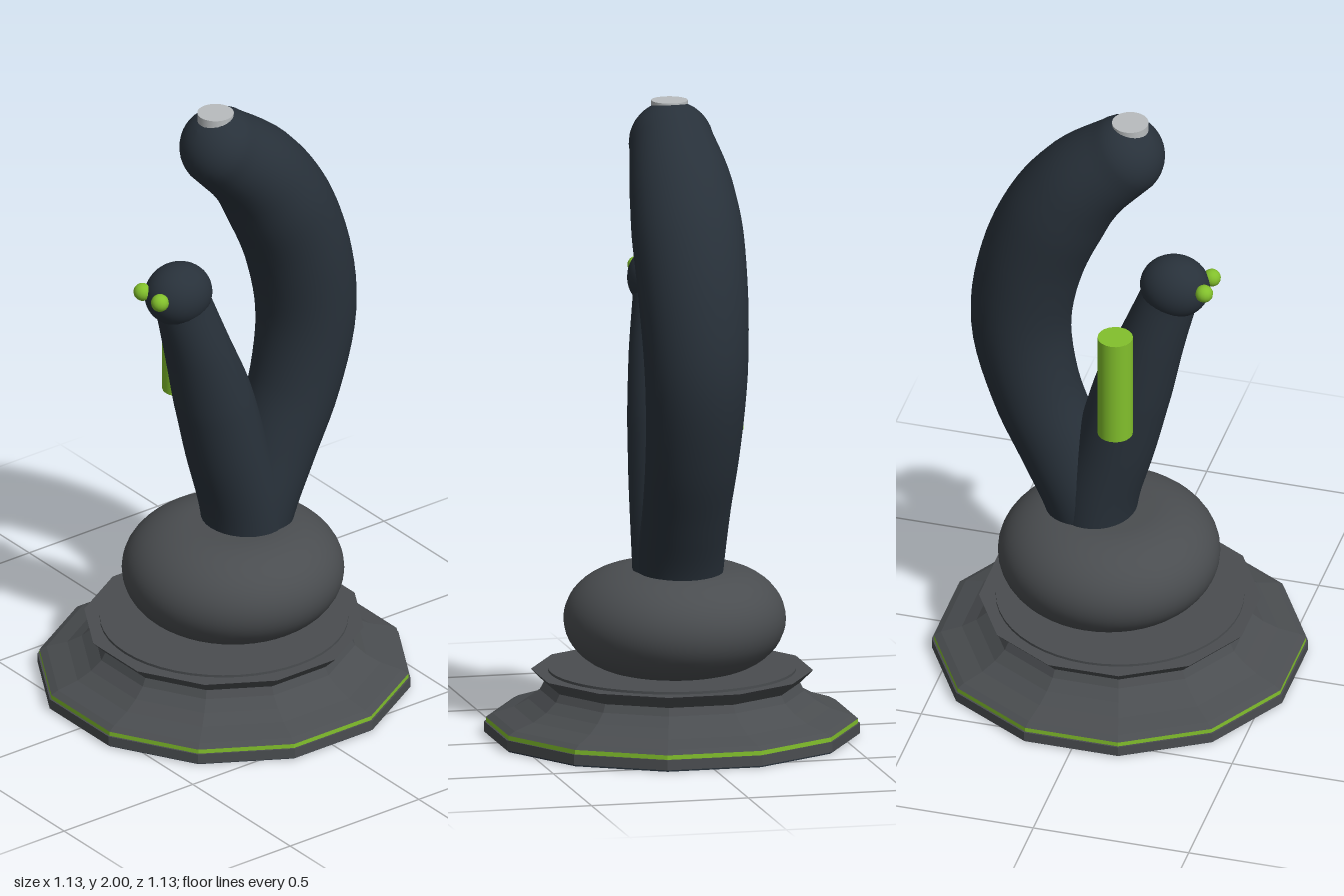
import * as THREE from 'three';

const mat = (name, color, side = THREE.FrontSide) => {
  const m = new THREE.MeshStandardMaterial({ color, side });
  m.name = name;
  return m;
};

// Smooth limb: each row is [y, z, half width, half depth]; ends in a round tip
function limbGeometry(rows, steps = 40, sides = 32) {
  const path = new THREE.CatmullRomCurve3(rows.map(r => new THREE.Vector3(0, r[0], r[1])));
  const size = new THREE.CatmullRomCurve3(rows.map(r => new THREE.Vector3(r[2], r[3], 0)));
  const rings = [];
  for (let i = 0; i <= steps; i++) {
    const t = i / steps, s = size.getPoint(t);
    rings.push({ c: path.getPoint(t), t: path.getTangent(t), w: s.x, d: s.y });
  }
  const end = rings[steps];
  for (let i = 1; i <= 10; i++) {
    const a = (i / 10) * Math.PI / 2, k = Math.max(Math.cos(a), 0.001);
    rings.push({
      c: end.c.clone().addScaledVector(end.t, end.d * Math.sin(a)),
      t: end.t, w: end.w * k, d: end.d * k,
    });
  }
  const pos = [], idx = [];
  rings.forEach(({ c, t, w, d }, i) => {
    for (let j = 0; j < sides; j++) {
      const a = (j / sides) * Math.PI * 2, n = d * Math.sin(a);
      pos.push(w * Math.cos(a), c.y + t.z * n, c.z - t.y * n);
      if (i < rings.length - 1) {
        const p = i * sides + j, q = i * sides + (j + 1) % sides;
        idx.push(p, q, q + sides, p, q + sides, p + sides);
      }
    }
  });
  const g = new THREE.BufferGeometry();
  g.setAttribute('position', new THREE.Float32BufferAttribute(pos, 3));
  g.setIndex(idx);
  g.computeVertexNormals();
  return g;
}

// Twelve-sided frustum with flats facing the axes; radii are corner radii
const twelve = (top, bottom, height, open = false) =>
  new THREE.CylinderGeometry(top, bottom, height, 12, 1, open)
    .rotateY(Math.PI / 12).toNonIndexed();

export function createModel() {
  const model = new THREE.Group();
  const grey = mat('grey', 0x4a4d50);
  const dark = mat('dark slate', 0x28313a);
  const green = mat('green', 0x82c02c);
  const white = mat('pale grey', 0xb8bcbe);
  const add = (name, geometry, material, x = 0, y = 0, z = 0) => {
    const m = new THREE.Mesh(geometry, material);
    m.name = name;
    m.position.set(x, y, z);
    model.add(m);
    return m;
  };
  const flat = (g) => { g.computeVertexNormals(); return g; };

  // Base: foot, green stripe, rim, flared skirt and top plate
  add('basePad', flat(twelve(0.575, 0.575, 0.006)), dark, 0, 0.003, 0);
  add('baseFoot', flat(twelve(0.583, 0.583, 0.032)), grey, 0, 0.022, 0);
  add('baseStripe', flat(twelve(0.577, 0.577, 0.014)), green, 0, 0.045, 0);
  add('baseRim', flat(twelve(0.555, 0.577, 0.012)), grey, 0, 0.058, 0);
  const skirt = [[0.555, 0.064], [0.49, 0.085], [0.445, 0.11], [0.41, 0.14],
    [0.397, 0.165], [0.43, 0.197], [0.437, 0.205]];
  for (let i = 0; i < skirt.length - 1; i++) {
    const [r0, y0] = skirt[i], [r1, y1] = skirt[i + 1];
    add('baseSkirt', flat(twelve(r1, r0, y1 - y0, i < skirt.length - 2)), grey, 0, (y0 + y1) / 2, 0);
  }
  add('topPlate', new THREE.CylinderGeometry(0.385, 0.385, 0.02, 48), grey, 0, 0.203, 0);

  // Rounded cushion between base and limbs
  const cushion = [new THREE.Vector2(0, 0.21)];
  for (let i = 0; i <= 24; i++) {
    const a = -Math.PI / 2 + (i / 24) * Math.PI;
    cushion.push(new THREE.Vector2(0.14 + 0.205 * Math.cos(a), 0.375 + 0.165 * Math.sin(a)));
  }
  cushion.push(new THREE.Vector2(0, 0.54));
  add('cushion', new THREE.LatheGeometry(cushion, 48), grey, 0, 0, -0.035);

  // Tall limb bows back and curves forward at the top
  add('tallLimb', limbGeometry([
    [0.42, -0.08, 0.13, 0.12], [0.58, -0.12, 0.135, 0.125], [0.76, -0.195, 0.137, 0.132],
    [0.96, -0.275, 0.147, 0.14], [1.2, -0.318, 0.16, 0.156], [1.42, -0.285, 0.17, 0.163],
    [1.6, -0.215, 0.174, 0.164], [1.75, -0.12, 0.162, 0.15], [1.87, 0.01, 0.132, 0.13],
  ]), dark);
  add('tipCap', new THREE.CylinderGeometry(0.057, 0.057, 0.03, 24), white, 0, 1.985, 0.033);

  // Short limb leans forward and carries a round head with two eyes
  add('shortLimb', limbGeometry([
    [0.42, -0.09, 0.14, 0.125], [0.6, -0.065, 0.142, 0.125], [0.8, -0.01, 0.138, 0.125],
    [1.0, 0.042, 0.13, 0.122], [1.2, 0.105, 0.11, 0.102], [1.36, 0.157, 0.085, 0.09],
  ]), dark);
  add('head', new THREE.SphereGeometry(0.1, 32, 20), dark, 0, 1.41, 0.177).scale.set(0.97, 1, 1.1);
  for (const side of [-1, 1]) {
    add(side < 0 ? 'rightEye' : 'leftEye', new THREE.SphereGeometry(0.028, 16, 12),
      green, side * 0.045, 1.43, 0.283);
  }

  // Separate green rod beside the limbs
  add('sideRod', new THREE.CylinderGeometry(0.055, 0.055, 0.36, 20), green, -0.18, 1.13, 0.035);
  return model;
}
